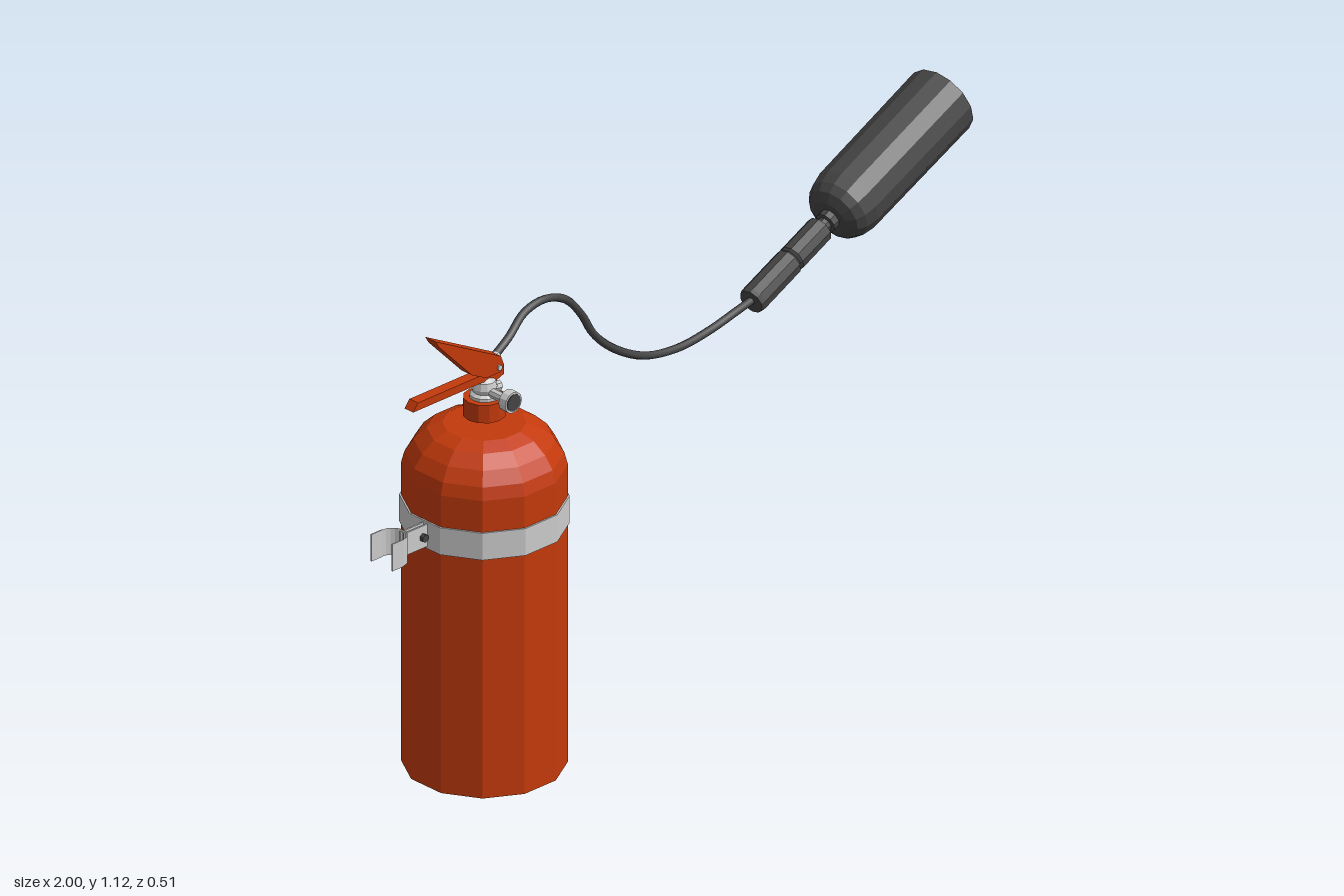
import * as THREE from 'three';

const CX = -0.68, CZ = 0.07; // axis of the cylinder
const V = (x, y, z) => new THREE.Vector3(x, y, z);
const mat = (color, opts = {}) => new THREE.MeshStandardMaterial({ color, flatShading: true, ...opts });

export function createModel() {
  const model = new THREE.Group();
  const red = mat(0xc43a0c);
  const dark = mat(0x444444);
  const shell = mat(0x444444, { side: THREE.DoubleSide });
  const grey = mat(0xcccccc);
  const greySheet = mat(0xcccccc, { side: THREE.DoubleSide });

  const add = (name, geometry, material, parent = model) => {
    const mesh = new THREE.Mesh(geometry, material);
    mesh.name = name;
    parent.add(mesh);
    return mesh;
  };
  const lathe = (points, sides, phase = 0) =>
    new THREE.LatheGeometry(points.map(([r, y]) => new THREE.Vector2(r, y)), sides, phase);
  // cylinder running between two points
  const rod = (name, a, b, r0, r1, sides, material) => {
    const mesh = add(name, new THREE.CylinderGeometry(r1, r0, a.distanceTo(b), sides), material);
    mesh.position.copy(a).lerp(b, 0.5);
    mesh.quaternion.setFromUnitVectors(V(0, 1, 0), b.clone().sub(a).normalize());
    return mesh;
  };
  // flat outline in x-y, extruded about the axis plane
  const plate = (name, outline, width) => {
    const shape = new THREE.Shape(outline.map(([x, y]) => new THREE.Vector2(x, y)));
    const geometry = new THREE.ExtrudeGeometry(shape, { depth: width, bevelEnabled: false });
    add(name, geometry, red).position.z = CZ - width / 2;
  };

  // twelve-sided tank with domed shoulder
  add('tank', lathe([
    [0, 0], [0.188, 0], [0.188, 0.75], [0.18, 0.78], [0.16, 0.812],
    [0.13, 0.84], [0.095, 0.855], [0, 0.855],
  ], 12, Math.PI / 12), red).position.set(CX, 0, CZ);

  // strap round the tank
  add('strap', lathe([
    [0.186, 0.603], [0.192, 0.603], [0.192, 0.671], [0.186, 0.671],
  ], 12, Math.PI / 12), grey).position.set(CX, 0, CZ);

  // clip on the strap, open to the outside
  const clip = new THREE.Group();
  clip.name = 'wallClip';
  model.add(clip);
  add('clipArc', new THREE.CylinderGeometry(0.034, 0.034, 0.068, 10, 1, true, 0, Math.PI), greySheet, clip)
    .position.set(-0.966, 0.637, CZ);
  for (const s of [-1, 1]) {
    add('clipLip', new THREE.BoxGeometry(0.034, 0.068, 0.003), grey, clip)
      .position.set(-0.983, 0.637, CZ + s * 0.034);
    add('clipArm', new THREE.BoxGeometry(0.075, 0.056, 0.004), grey, clip)
      .position.set(-0.9, 0.637, CZ + s * 0.006);
  }
  rod('clipBolt', V(-0.88, 0.637, CZ - 0.018), V(-0.88, 0.637, CZ + 0.018), 0.01, 0.01, 6, dark);

  // collar and valve
  add('collar', new THREE.CylinderGeometry(0.049, 0.049, 0.045, 12), red).position.set(CX, 0.898, CZ);
  add('valveBody', lathe([
    [0, 0.918], [0.034, 0.918], [0.034, 0.928], [0.026, 0.934], [0.03, 0.945],
    [0.026, 0.962], [0.014, 0.97], [0.014, 0.99], [0, 0.99],
  ], 12), grey).position.set(CX, 0, CZ);
  rod('gaugeStem', V(CX, 0.938, CZ), V(CX, 0.938, 0.145), 0.012, 0.012, 8, grey);
  rod('gauge', V(CX, 0.938, 0.143), V(CX, 0.938, 0.165), 0.026, 0.026, 12, grey);
  rod('gaugeFace', V(CX, 0.938, 0.165), V(CX, 0.938, 0.167), 0.021, 0.021, 12, dark);
  rod('valveSidePlug', V(CX, 0.938, CZ), V(-0.635, 0.932, CZ), 0.013, 0.013, 8, grey);
  rod('outlet', V(CX, 0.942, CZ), V(-0.66, 0.948, 0.025), 0.014, 0.014, 8, grey);
  rod('outletNut', V(-0.672, 0.94, 0.026), V(-0.635, 0.956, 0.02), 0.017, 0.017, 6, grey);
  rod('hoseFerrule', V(-0.638, 0.955, 0.02), V(-0.59, 0.975, 0.017), 0.012, 0.012, 8, grey);

  // squeeze levers and hinge pin
  plate('upperLever', [
    [-0.848, 1.122], [-0.838, 1.105], [-0.735, 0.998], [-0.69, 0.975],
    [-0.645, 0.975], [-0.635, 0.99], [-0.645, 1.015],
  ], 0.034);
  plate('lowerLever', [
    [-0.915, 0.966], [-0.7, 0.966], [-0.66, 0.955], [-0.632, 0.965],
    [-0.632, 0.985], [-0.72, 0.985], [-0.9, 0.985],
  ], 0.028);
  rod('hingePin', V(-0.65, 0.988, CZ - 0.021), V(-0.65, 0.988, CZ + 0.021), 0.007, 0.007, 8, grey);

  // hose
  const path = new THREE.CatmullRomCurve3([
    V(-0.61, 0.967, 0.018), V(-0.55, 1.0, 0.012), V(-0.48, 1.031, -0.01), V(-0.41, 1.038, -0.017),
    V(-0.345, 1.015, -0.018), V(-0.295, 0.96, -0.018), V(-0.255, 0.895, -0.019), V(-0.19, 0.835, -0.021),
    V(-0.09, 0.78, -0.026), V(0.02, 0.758, -0.033), V(0.13, 0.76, -0.044), V(0.22, 0.772, -0.053),
    V(0.29, 0.78, -0.062),
  ]);
  add('hose', new THREE.TubeGeometry(path, 60, 0.0095, 8), mat(0x444444, { flatShading: false }));

  // grip and discharge horn share one axis
  const start = V(0.275, 0.775, -0.06), end = V(0.968, 1.002, -0.165);
  const nozzle = new THREE.Group();
  nozzle.name = 'nozzle';
  nozzle.position.copy(start);
  nozzle.quaternion.setFromUnitVectors(V(0, 1, 0), end.clone().sub(start).normalize());
  model.add(nozzle);
  add('grip', lathe([
    [0, 0], [0.031, 0], [0.034, 0.01], [0.034, 0.145], [0.028, 0.152], [0.033, 0.158],
    [0.033, 0.265], [0.018, 0.27], [0.018, 0.285], [0.026, 0.287], [0.026, 0.312], [0, 0.312],
  ], 10), dark, nozzle);
  const length = start.distanceTo(end);
  add('horn', lathe([
    [0, 0.305], [0.045, 0.305], [0.068, 0.318], [0.08, 0.338], [0.086, 0.37], [0.088, length],
    [0.084, length], [0.081, 0.37], [0.065, 0.33], [0, 0.318],
  ], 14), shell, nozzle);

  return model;
}
